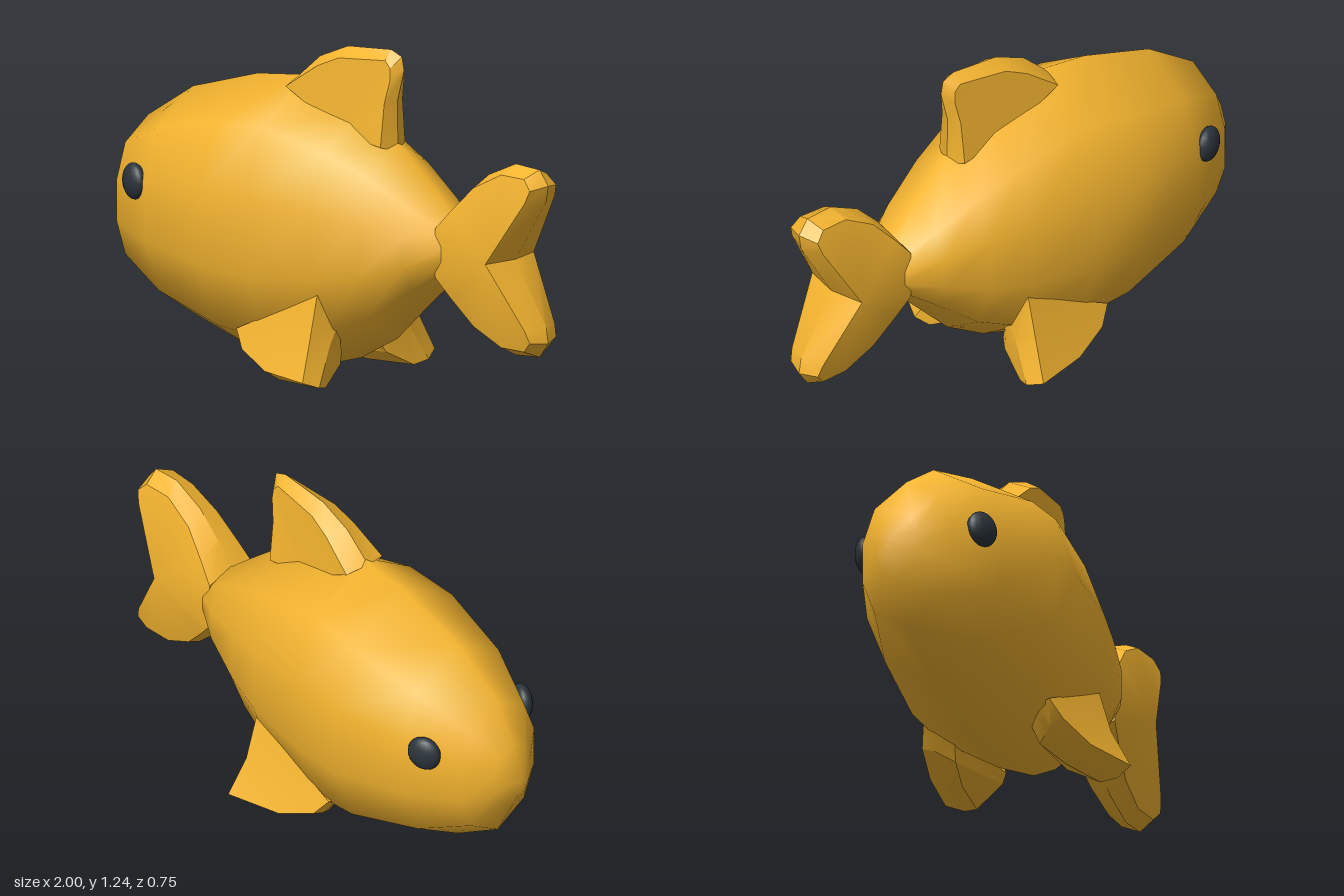
import * as THREE from 'three';
import { toCreasedNormals } from 'three/addons/utils/BufferGeometryUtils.js';

const gold = new THREE.MeshStandardMaterial({ color: 0xf4b42f });
const dark = new THREE.MeshStandardMaterial({ color: 0x2b343b });
const MID = 0.55; // height of the body axis

function mesh(name, points, faces, crease, parent) {
  const geo = new THREE.BufferGeometry();
  geo.setAttribute('position', new THREE.Float32BufferAttribute(points.flat(), 3));
  geo.setIndex(faces.flat());
  const m = new THREE.Mesh(toCreasedNormals(geo, crease), gold);
  m.name = name;
  parent.add(m);
}

// Solid fin: +z face, ridge around the rim, -z face. Loops run clockwise seen from +z.
function fin(name, outer, ridge, inner, pivot, parent) {
  const n = outer.length, faces = [];
  for (let i = 0; i < n; i++) {
    const j = (i + 1) % n;
    for (const k of [0, n]) faces.push([k + i, k + j, k + n + i], [k + j, k + n + j, k + n + i]);
    if (i !== pivot && j !== pivot) {
      faces.push([pivot, j, i], [2 * n + pivot, 2 * n + i, 2 * n + j]);
    }
  }
  mesh(name, [...outer, ...ridge, ...inner], faces, 0.5, parent);
}

const flipZ = (loop) => loop.map(([x, y, z]) => [x, y, -z]);
const flipY = ([x, y, z]) => [x, 2 * MID - y, z];

function addBody(parent) {
  // x, top, bottom, half width
  const stations = [
    [-1, 0.555, 0.555, 0], [-0.94, 0.69, 0.42, 0.085], [-0.86, 0.84, 0.27, 0.178],
    [-0.65, 0.975, 0.14, 0.27], [-0.35, 1.065, 0.04, 0.333], [-0.14, 1.09, 0.005, 0.318],
    [0.13, 1.0, 0.085, 0.285], [0.3, 0.9, 0.18, 0.237], [0.47, 0.755, 0.345, 0.18],
    [0.6, 0.64, 0.46, 0.105], [0.7, 0.55, 0.55, 0],
  ];
  // ten-sided cross-section as (z, y) factors
  const side = [[0, 1], [0.73, 0.72], [1, 0.27], [1, -0.27], [0.73, -0.72]];
  const section = [...side, ...side.map(([z, y]) => [-z, -y])];
  const n = section.length, points = [], faces = [];
  stations.forEach(([x, top, bottom, w], i) => {
    for (const [z, y] of section) points.push([x, (top + bottom) / 2 + y * (top - bottom) / 2, z * w]);
    if (i === 0) return;
    for (let j = 0; j < n; j++) {
      const a = (i - 1) * n + j, b = (i - 1) * n + (j + 1) % n;
      faces.push([a, b, a + n], [b, b + n, a + n]);
    }
  });
  mesh('body', points, faces, 1.2, parent);
}

function addTail(parent) {
  const thick = ([x, y]) => [x, y, 0.138 - 0.247 * (y - MID) + 0.04 * (x - 0.82)];
  const upper = [[0.56, 0.64], [0.62, 0.71], [0.71, 0.805], [0.83, 0.868], [0.94, 0.868], [0.975, 0.83], [0.96, 0.785]].map(thick);
  const rim = [[0.56, 0.67], [0.63, 0.755], [0.725, 0.845], [0.85, 0.902], [0.96, 0.895], [1, 0.84], [0.99, 0.78]].map(([x, y]) => [x, y, 0]);
  const close = (half, notch) => [...half, notch, ...half.map(flipY).reverse()];
  const outer = close(upper, [0.82, MID, 0.138]);
  fin('tailFin', outer, close(rim, [0.848, MID, 0]), flipZ(outer), upper.length, parent);
}

function addDorsalFin(parent) {
  const outer = [
    [-0.15, 1.06, 0.087], [-0.02, 1.15, 0.067], [0.07, 1.19, 0.055], [0.27, 1.205, 0.036],
    [0.295, 1.18, 0.036], [0.298, 1.14, 0.04], [0.28, 1.05, 0.052], [0.277, 0.89, 0.07], [0.1, 0.92, 0.07],
  ];
  const ridge = [
    [-0.17, 1.075, 0], [-0.06, 1.17, 0], [0.07, 1.225, 0], [0.27, 1.24, 0],
    [0.32, 1.22, 0], [0.33, 1.17, 0], [0.298, 1.05, 0], [0.302, 0.87, 0], [0.1, 0.9, 0],
  ];
  fin('dorsalFin', outer, ridge, flipZ(outer), 8, parent);
}

function addSideFins(parent) {
  const outer = [
    [-0.24, 0.185, 0.255], [0.14, 0.365, 0.26], [0.143, 0.2, 0.307],
    [0.165, 0.06, 0.375], [-0.05, 0.065, 0.325], [-0.19, 0.12, 0.285],
  ];
  const ridge = [
    [-0.24, 0.17, 0.2], [0.17, 0.25, 0.175], [0.168, 0.17, 0.225],
    [0.19, 0.035, 0.31], [-0.03, 0.028, 0.27], [-0.19, 0.1, 0.235],
  ];
  const inner = [
    [-0.2, 0.14, 0.15], [0.13, 0.12, 0.11], [0.14, 0.085, 0.13],
    [0.17, 0.022, 0.25], [-0.02, 0.024, 0.21], [-0.15, 0.06, 0.17],
  ];
  fin('leftSideFin', outer, ridge, inner, 2, parent);
  fin('rightSideFin', flipZ(inner), flipZ(ridge), flipZ(outer), 2, parent);
}

function addEyes(parent) {
  for (const s of [1, -1]) {
    const eye = new THREE.Mesh(new THREE.SphereGeometry(1, 16, 12), dark);
    eye.name = s > 0 ? 'leftEye' : 'rightEye';
    eye.scale.set(0.064, 0.067, 0.035);
    eye.position.set(-0.73, 0.655, s * 0.238);
    eye.rotation.y = -s * 0.4;
    parent.add(eye);
  }
}

export function createModel() {
  const fish = new THREE.Group();
  fish.name = 'fish';
  addBody(fish);
  addTail(fish);
  addDorsalFin(fish);
  addSideFins(fish);
  addEyes(fish);
  return fish;
}
